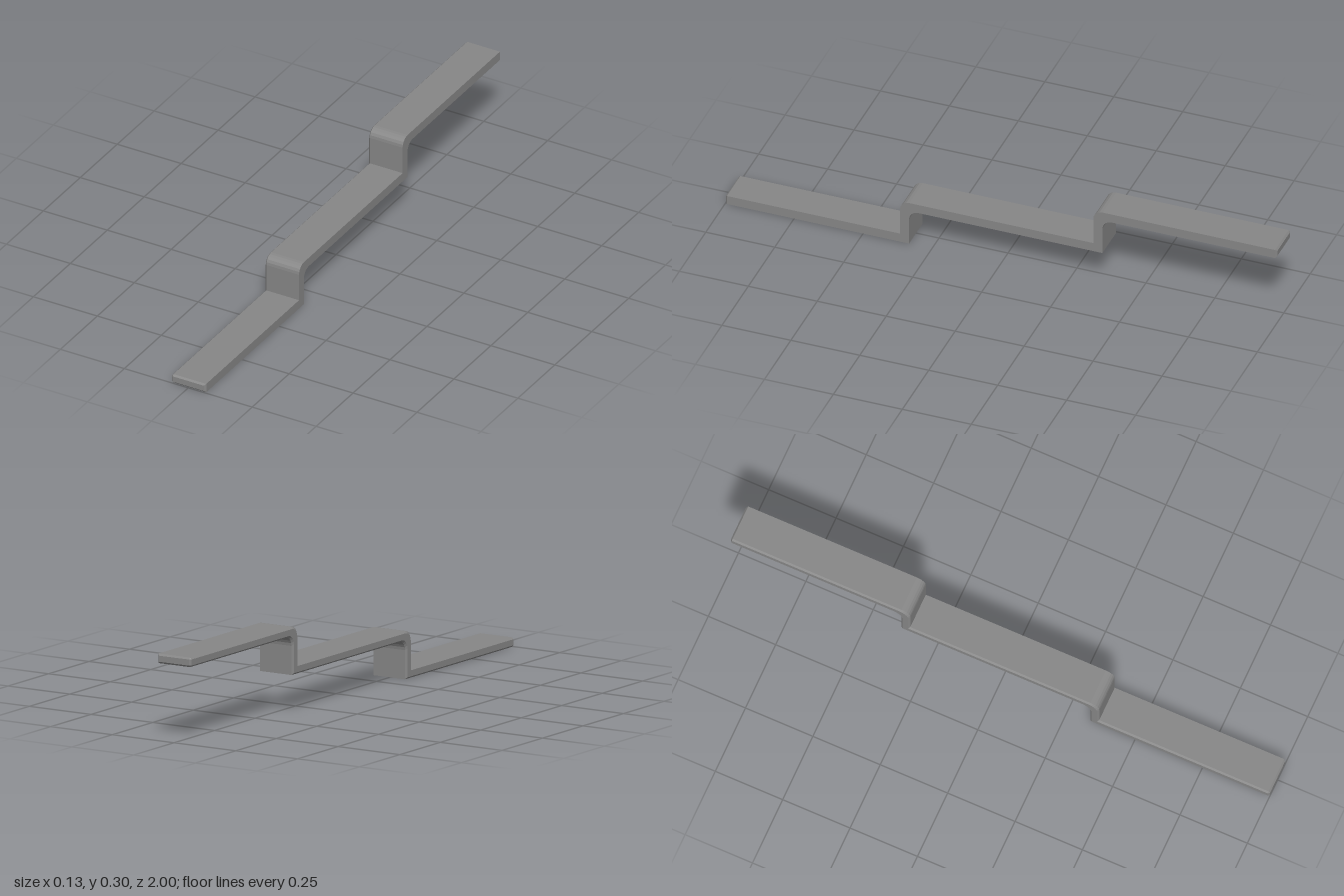
import * as THREE from 'three';

const W = 0.067;   // half width
const T = 0.033;   // strip thickness
const C = 0.006;   // chamfer
const R = 0.033;   // bend radius
const RISE = 0.1335;
const BEND_STEPS = 5;

// Ring of six points across the strip, chamfered along its -x edges.
// Top point (z, y); the bottom point lies at (z - lean, y - T).
function section(z, y, lean, inset = 0) {
  const at = (x, f) => new THREE.Vector3(x, y - T * f, z - lean * f);
  const f = C / T, k = inset / T;
  return [
    at(W - inset, 1 - k), at(W - inset, k),
    at(-W + C, k), at(-W + inset, f),
    at(-W + inset, 1 - f), at(-W + C, 1 - k),
  ];
}

function stripGeometry() {
  // Chamfered front end, two bends per riser, chamfered back end
  const rings = [section(1, T, 0, C), section(1 - C, T, 0)];
  [0.366, -0.335].forEach((z, i) => {
    const top = T + RISE * (i + 1);
    rings.push(section(z, top - RISE, T));
    for (let s = 0; s <= BEND_STEPS; s++) {
      const a = (s / BEND_STEPS) * Math.PI / 2;
      rings.push(section(z - R + R * Math.cos(a), top - R + R * Math.sin(a), T));
    }
  });
  const high = T + RISE * 2;
  rings.push(section(-1 + C, high, 0), section(-1, high, 0, C));

  const pos = [];
  const tri = (a, b, c) => {
    if (new THREE.Triangle(a, b, c).getArea() < 1e-9) return;
    for (const p of [a, b, c]) pos.push(p.x, p.y, p.z);
  };
  // Skin between neighbouring rings
  for (let r = 0; r < rings.length - 1; r++) {
    const a = rings[r], b = rings[r + 1];
    for (let i = 0; i < 6; i++) {
      const j = (i + 1) % 6;
      tri(a[i], b[i], a[j]);
      tri(a[j], b[i], b[j]);
    }
  }
  // End faces
  const f = rings[0], e = rings[rings.length - 1];
  tri(f[0], f[1], f[3]);
  tri(f[0], f[3], f[4]);
  tri(e[0], e[3], e[1]);
  tri(e[0], e[4], e[3]);

  // Unshared corners give flat facets
  const g = new THREE.BufferGeometry();
  g.setAttribute('position', new THREE.Float32BufferAttribute(pos, 3));
  g.computeVertexNormals();
  return g;
}

export function createModel() {
  const group = new THREE.Group();
  group.name = 'steppedStrip';
  const strip = new THREE.Mesh(
    stripGeometry(),
    new THREE.MeshStandardMaterial({ color: 0x868686 })
  );
  strip.name = 'bentStrip';
  group.add(strip);
  return group;
}
